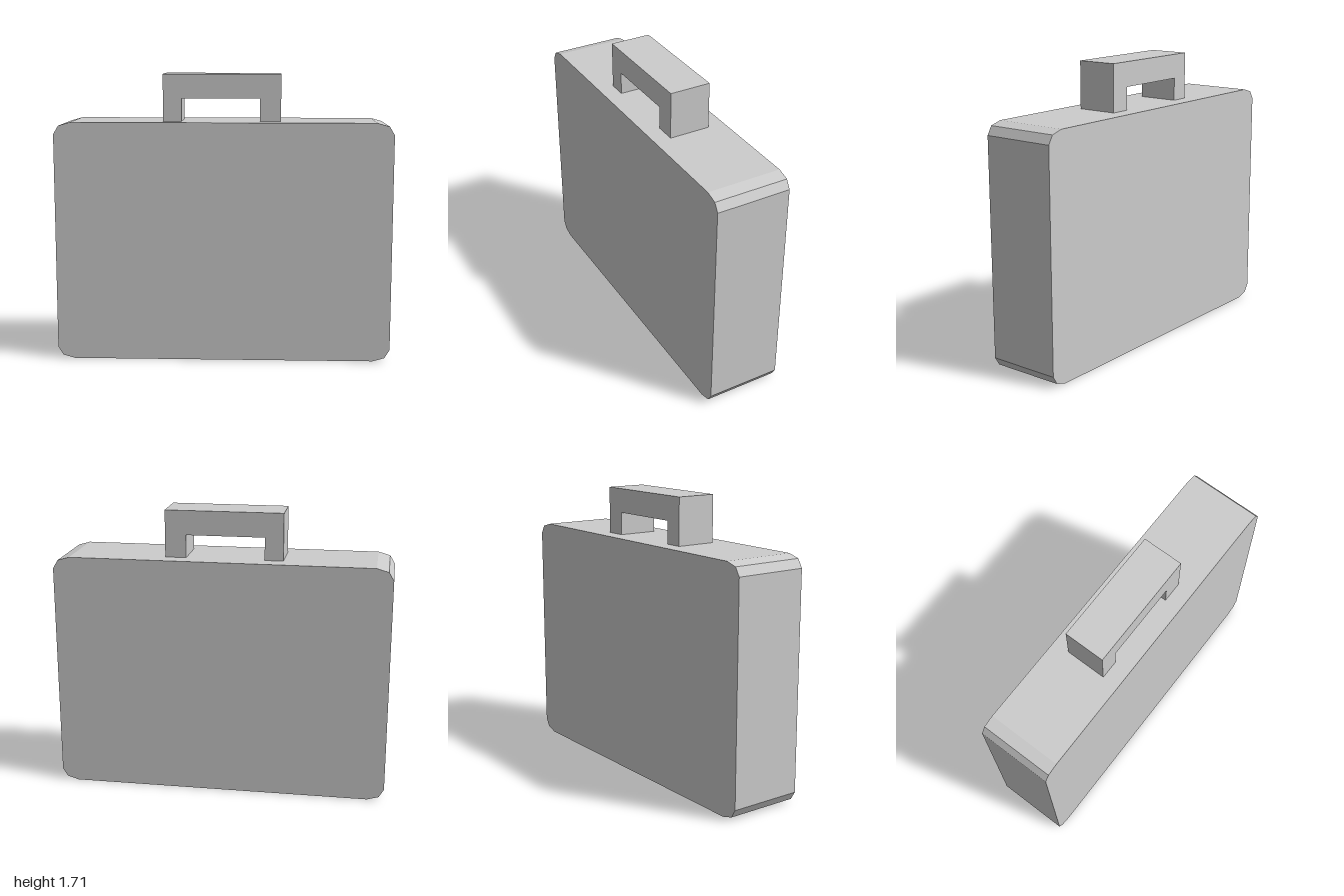
import * as THREE from 'three';

// Extrudes an outline along z, centred on z = 0
function slab(name, points, depth, material) {
  const shape = new THREE.Shape(points.map(([x, y]) => new THREE.Vector2(x, y)));
  const geometry = new THREE.ExtrudeGeometry(shape, { depth, bevelEnabled: false });
  geometry.translate(0, 0, -depth / 2);
  const mesh = new THREE.Mesh(geometry, material);
  mesh.name = name;
  return mesh;
}

export function createModel() {
  const group = new THREE.Group();
  group.name = 'briefcase';
  const grey = new THREE.MeshStandardMaterial({ color: 0xcccccc, flatShading: true });
  grey.name = 'light grey';

  // Case body: one corner in two facets, mirrored to all four
  const height = 1.43;
  const corner = [[0.9, 0], [0.97, 0.02], [1, 0.07]];
  const rightSide = [
    ...corner,
    ...corner.map(([x, y]) => [x, height - y]).reverse(),
  ];
  const leftSide = rightSide.map(([x, y]) => [-x, y]).reverse();
  group.add(slab('caseBody', [...rightSide, ...leftSide], 0.445, grey));

  // Square-cut carrying handle, standing on the top face
  group.add(slab('handle', [
    [-0.36, height], [-0.25, height], [-0.25, 1.565], [0.215, 1.565],
    [0.215, height], [0.34, height], [0.34, 1.71], [-0.36, 1.71],
  ], 0.245, grey));

  return group;
}
